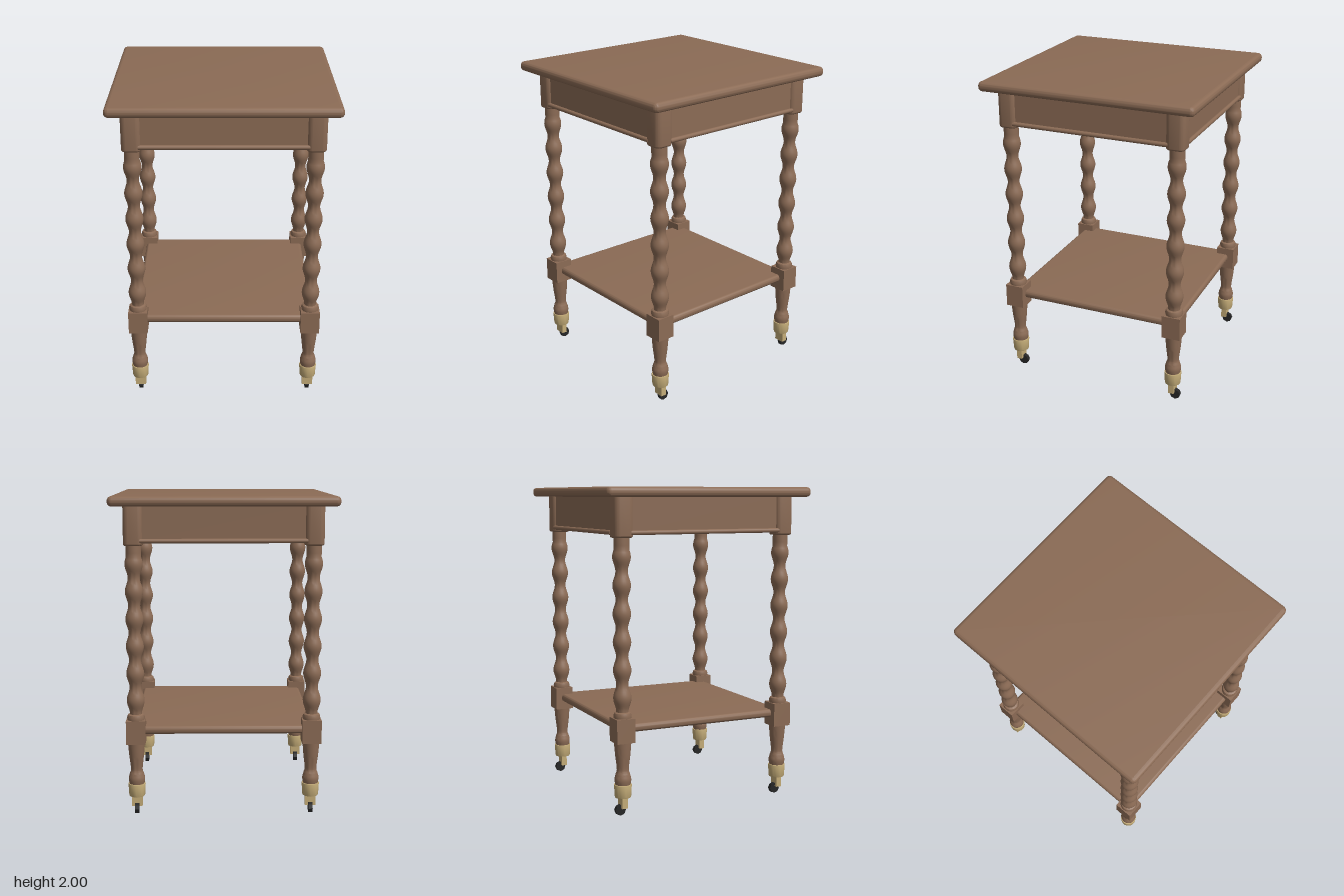
import * as THREE from 'three';
import { toCreasedNormals } from 'three/addons/utils/BufferGeometryUtils.js';

const wood = new THREE.MeshStandardMaterial({ color: 0x8b6b55 });
const brass = new THREE.MeshStandardMaterial({ color: 0xc4ac78 });
const black = new THREE.MeshStandardMaterial({ color: 0x262626 });

function add(parent, name, geometry, material, x = 0, y = 0, z = 0) {
  const mesh = new THREE.Mesh(geometry, material);
  mesh.name = name;
  mesh.position.set(x, y, z);
  parent.add(mesh);
  return mesh;
}

// Upright square slab with rounded corners and rounded rims, standing on y = 0
function slab(half, height, corner, bevel) {
  const a = half - bevel, r = corner - bevel;
  const s = new THREE.Shape();
  s.moveTo(-a + r, -a);
  s.lineTo(a - r, -a);
  s.absarc(a - r, -a + r, r, -Math.PI / 2, 0);
  s.lineTo(a, a - r);
  s.absarc(a - r, a - r, r, 0, Math.PI / 2);
  s.lineTo(-a + r, a);
  s.absarc(-a + r, a - r, r, Math.PI / 2, Math.PI);
  s.lineTo(-a, -a + r);
  s.absarc(-a + r, -a + r, r, Math.PI, Math.PI * 1.5);
  const g = new THREE.ExtrudeGeometry(s, {
    depth: height - 2 * bevel, bevelSize: bevel, bevelThickness: bevel,
    bevelSegments: 6, curveSegments: 6,
  });
  g.translate(0, 0, bevel);
  g.rotateX(-Math.PI / 2);
  return toCreasedNormals(g, 0.6);
}

function lathe(points) {
  const g = new THREE.LatheGeometry(points.map(([r, y]) => new THREE.Vector2(r, y)), 28);
  return toCreasedNormals(g, 0.7);
}

// Bobbin turning: six swellings above a small collar
function bobbinProfile() {
  const pts = [[0.053, 0.605], [0.056, 0.625], [0.05, 0.642], [0.038, 0.647]];
  const pitch = 0.171, steps = 12;
  for (let i = 1; i <= 6 * steps - 3; i++) {
    const t = i / steps;
    pts.push([0.0465 - 0.0095 * Math.cos(t * Math.PI * 2), 0.647 + t * pitch]);
  }
  pts.push([0.047, 1.655], [0.047, 1.72]);
  return pts;
}

// Tapered foot with a flared ankle
function footProfile() {
  const curve = new THREE.SplineCurve([
    [0.054, 0.465], [0.047, 0.38], [0.037, 0.29], [0.044, 0.26], [0.052, 0.225], [0.046, 0.185],
  ].map(p => new THREE.Vector2(...p)));
  return curve.getPoints(24).reverse().map(p => [p.x, p.y]);
}

function createLeg(geo) {
  const leg = new THREE.Group();
  add(leg, 'upperBlock', geo.upperBlock, wood, 0, 1.7, 0);
  add(leg, 'bobbinSpindle', geo.bobbin, wood);
  add(leg, 'lowerBlock', geo.lowerBlock, wood, 0, 0.535, 0);
  add(leg, 'foot', geo.foot, wood);
  add(leg, 'casterCup', geo.cup, brass);
  add(leg, 'casterFork', geo.fork, brass, 0, 0.08, 0);
  add(leg, 'casterWheel', geo.wheel, black, 0, 0.033, -0.02);
  return leg;
}

export function createModel() {
  const model = new THREE.Group();
  model.name = 'sideTable';

  add(model, 'tableTop', slab(0.695, 0.06, 0.03, 0.025), wood, 0, 1.94, 0);
  add(model, 'lowerShelf', slab(0.57, 0.05, 0.03, 0.02), wood, 0, 0.515, 0);

  const wheel = new THREE.CylinderGeometry(0.034, 0.034, 0.026, 8).rotateZ(Math.PI / 2);
  const geo = {
    upperBlock: slab(0.06, 0.25, 0.035, 0.012),
    bobbin: lathe(bobbinProfile()),
    lowerBlock: new THREE.BoxGeometry(0.12, 0.15, 0.12),
    foot: lathe(footProfile()),
    cup: lathe([[0, 0.112], [0.048, 0.112], [0.051, 0.12], [0.055, 0.19], [0.054, 0.194], [0, 0.194]]),
    fork: new THREE.BoxGeometry(0.068, 0.07, 0.036),
    wheel: toCreasedNormals(wheel, 0.3),
  };

  // Four legs and the diagonal braces behind their upper blocks
  const braceGeo = new THREE.BoxGeometry(0.29, 0.09, 0.07);
  for (const sx of [1, -1]) for (const sz of [1, -1]) {
    const leg = createLeg(geo);
    leg.name = (sz > 0 ? 'front' : 'back') + (sx > 0 ? 'Left' : 'Right') + 'Leg';
    leg.position.set(sx * 0.551, 0, sz * 0.551);
    model.add(leg);
    const brace = add(model, 'cornerBrace', braceGeo, wood, sx * 0.45, 1.815, sz * 0.45);
    brace.rotation.y = sx * sz * Math.PI / 4;
  }

  // Four apron boards, each with a bead along the bottom edge
  const boardGeo = new THREE.BoxGeometry(1.04, 0.22, 0.045);
  const beadGeo = new THREE.CylinderGeometry(0.014, 0.014, 1.02, 14).rotateZ(Math.PI / 2);
  for (const [i, side] of ['front', 'left', 'back', 'right'].entries()) {
    const apron = new THREE.Group();
    apron.name = side + 'Apron';
    add(apron, 'apronBoard', boardGeo, wood, 0, 1.835, 0.57);
    add(apron, 'apronBead', beadGeo, wood, 0, 1.73, 0.597);
    apron.rotation.y = i * Math.PI / 2;
    model.add(apron);
  }
  return model;
}
